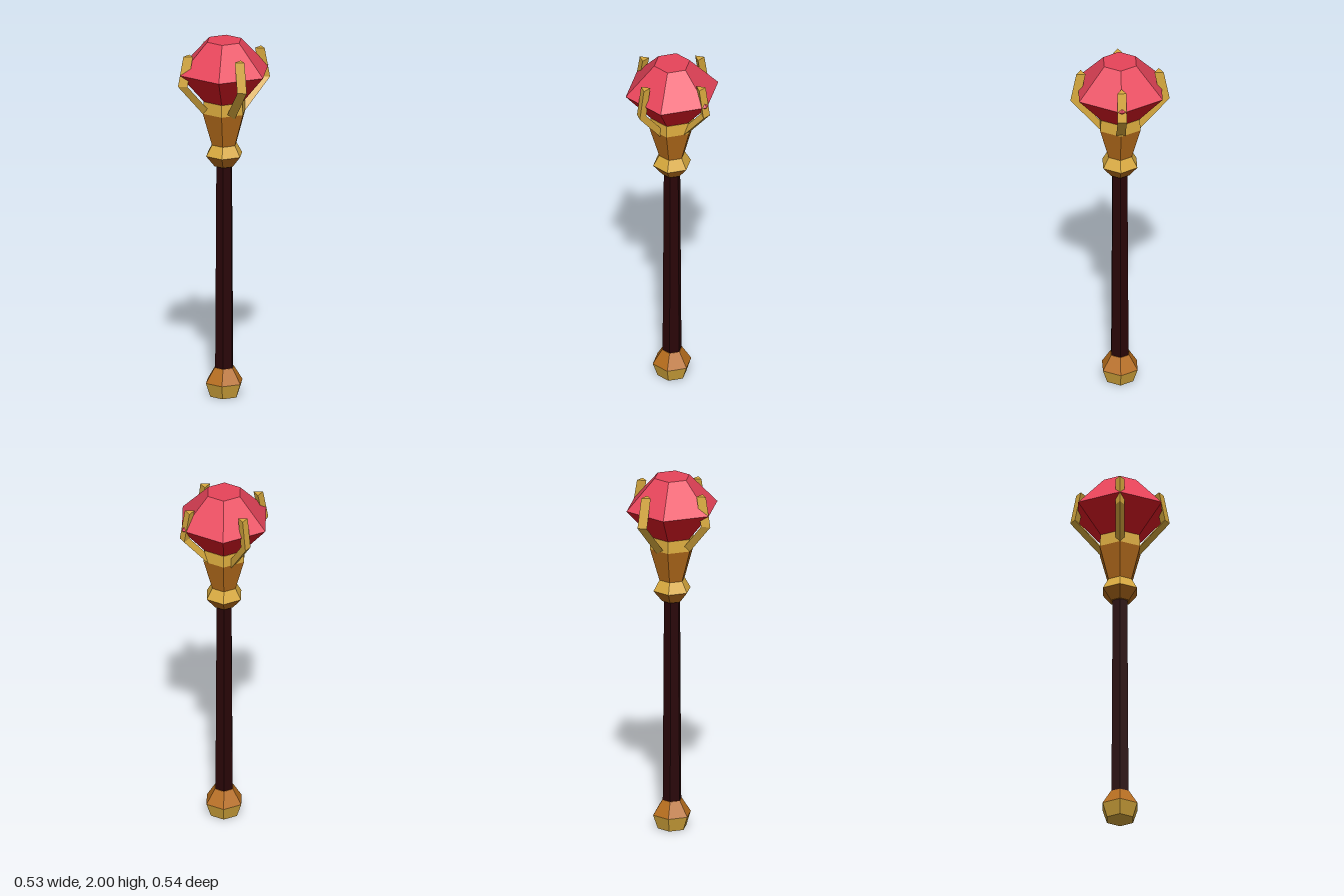
import * as THREE from 'three';

const material = (name, color) => {
  const m = new THREE.MeshStandardMaterial({ color });
  m.name = name;
  return m;
};

// Faceted look: every face gets its own normal
function faceted(geometry) {
  const g = geometry.toNonIndexed();
  g.computeVertexNormals();
  return g;
}

// Triangular bar swept through a list of [x, y, z] centres
function triangularBar(path) {
  const section = [[-0.025, 0], [0.02, 0.025], [0.02, -0.025]];
  const positions = [];
  for (const [x, y, z] of path) {
    for (const [dx, dz] of section) positions.push(x + dx, y, z + dz);
  }
  const index = [];
  for (let r = 0; r < path.length - 1; r++) {
    for (let i = 0; i < 3; i++) {
      const a = r * 3 + i, b = r * 3 + (i + 1) % 3;
      index.push(a, b, a + 3, b, b + 3, a + 3);
    }
  }
  const t = (path.length - 1) * 3;
  index.push(0, 2, 1, t, t + 1, t + 2);
  const g = new THREE.BufferGeometry();
  g.setAttribute('position', new THREE.Float32BufferAttribute(positions, 3));
  g.setIndex(index);
  return faceted(g);
}

export function createModel() {
  const gold = material('gold', 0xdaab3e);
  const bronze = material('bronze', 0xb86e1c);
  const darkWood = material('dark wood', 0x290507);
  const gemLight = material('light gem', 0xe8445a);
  const gemDeep = material('deep gem', 0xe21a25);

  const model = new THREE.Group();
  model.name = 'scepter';

  // Stacked hexagonal rings: name, material, bottom y, top y, bottom radius, top radius
  const rings = [
    ['pommelBase', gold, 0, 0.078, 0.081, 0.108],
    ['pommelTop', bronze, 0.078, 0.16, 0.108, 0.056],
    ['shaft', darkWood, 0.16, 1.30, 0.053, 0.046],
    ['collarLower', bronze, 1.295, 1.357, 0.056, 0.106],
    ['collarUpper', gold, 1.357, 1.417, 0.106, 0.072],
    ['cup', bronze, 1.417, 1.60, 0.072, 0.126],
    ['cupRim', gold, 1.60, 1.667, 0.126, 0.121],
    ['gemLower', gemDeep, 1.667, 1.83, 0.119, 0.26],
    ['gemCrown', gemLight, 1.83, 2.0, 0.26, 0.1],
  ];
  for (const [name, mat, y0, y1, r0, r1] of rings) {
    const g = new THREE.CylinderGeometry(r1, r0, y1 - y0, 6, 1, false, Math.PI / 2);
    const mesh = new THREE.Mesh(faceted(g), mat);
    mesh.name = name;
    mesh.position.set(0.004, (y0 + y1) / 2, 0);
    model.add(mesh);
  }

  // Four bent prongs holding the gem, all sharing one section direction
  const prongs = { leftProng: [1, 0], rightProng: [-1, 0], frontProng: [0, 1], backProng: [0, -1] };
  for (const [name, [dx, dz]] of Object.entries(prongs)) {
    const path = [[0.085, 1.585], [0.243, 1.77], [0.211, 1.935]]
      .map(([r, y]) => [dx * r, y, dz * r]);
    const mesh = new THREE.Mesh(triangularBar(path), gold);
    mesh.name = name;
    model.add(mesh);
  }
  return model;
}
